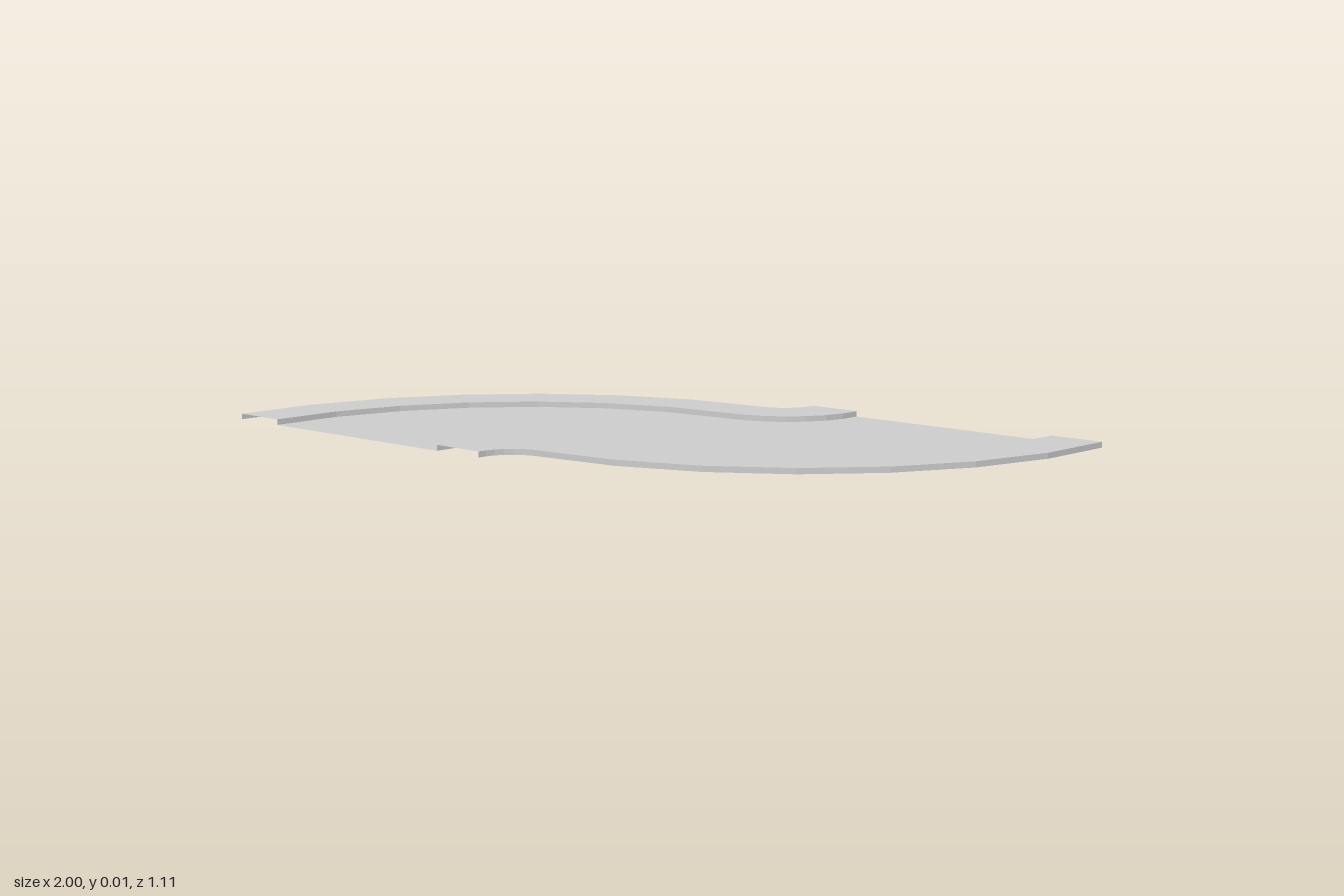
import * as THREE from 'three';

const SUM = 1.105;       // the two arc radii of any line along the road add up to this
const HALF = SUM / 2;    // half depth of the piece
const SEGMENTS = 7;      // facets per quarter turn
const KERB = 0.015;      // pavement height

// S-shaped line: a quarter turn of the given radius, then the opposite quarter turn
function sCurve(radius) {
  const points = [];
  const second = SUM - radius;
  for (let i = 0; i <= SEGMENTS; i++) {
    const a = (i / SEGMENTS) * Math.PI / 2;
    points.push([-radius * Math.cos(a), HALF - radius * Math.sin(a)]);
  }
  for (let i = 1; i <= SEGMENTS; i++) {
    const a = (i / SEGMENTS) * Math.PI / 2;
    points.push([second * Math.sin(a), -HALF + second * Math.cos(a)]);
  }
  return points;
}

// Sweep a cross-section of [radius, height] pairs, listed left to right, along the S
function sweep(name, section, material) {
  const positions = [];
  for (let s = 0; s < section.length - 1; s++) {
    const [[ra, ya], [rb, yb]] = [section[s], section[s + 1]];
    const left = sCurve(ra), right = sCurve(rb);
    for (let i = 0; i < left.length - 1; i++) {
      const a = [left[i][0], ya, left[i][1]];
      const b = [right[i][0], yb, right[i][1]];
      const c = [right[i + 1][0], yb, right[i + 1][1]];
      const d = [left[i + 1][0], ya, left[i + 1][1]];
      positions.push(...a, ...b, ...c, ...a, ...c, ...d);
    }
  }
  const geometry = new THREE.BufferGeometry();
  geometry.setAttribute('position', new THREE.Float32BufferAttribute(positions, 3));
  geometry.computeVertexNormals();
  const mesh = new THREE.Mesh(geometry, material);
  mesh.name = name;
  return mesh;
}

export function createModel() {
  const group = new THREE.Group();
  group.name = 'curvedRoad';
  const material = new THREE.MeshStandardMaterial({
    color: 0xcccccc, flatShading: true, side: THREE.DoubleSide,
  });

  // Flat carriageway
  group.add(sweep('roadSurface', [[0.855, 0], [0.25, 0]], material));

  // Raised pavements: outer and inner walls with a flat top, open at the ends
  const pavement = (outer, inner) => [[outer, 0], [outer, KERB], [inner, KERB], [inner, 0]];
  group.add(sweep('rightPavement', pavement(1, 0.855), material));
  group.add(sweep('leftPavement', pavement(0.25, 0.105), material));

  return group;
}
